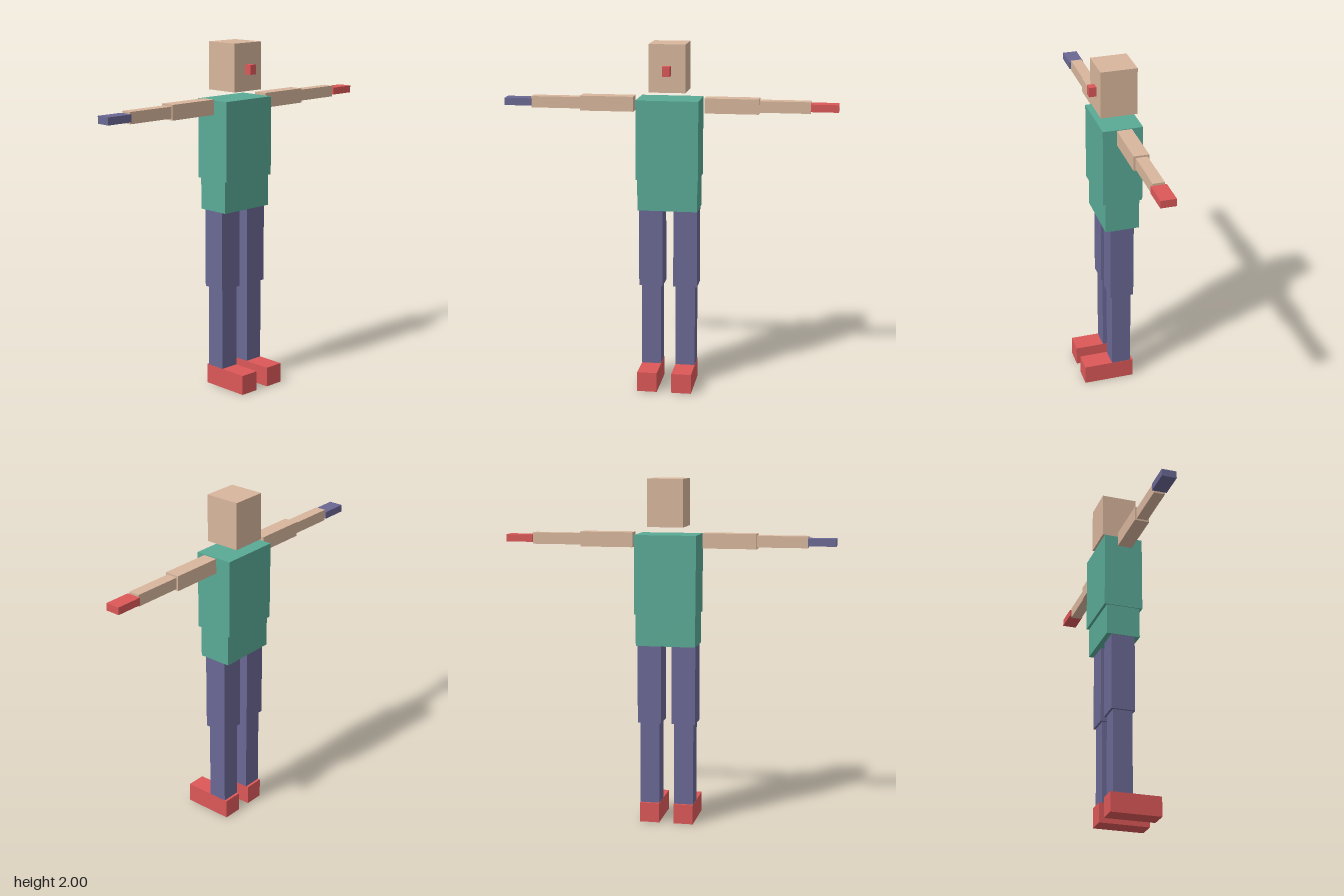
import * as THREE from 'three';

const mat = (name, color) => {
  const m = new THREE.MeshStandardMaterial({ color });
  m.name = name;
  return m;
};

export function createModel() {
  const skin = mat('skin', 0xd8b69c);
  const shirt = mat('teal shirt', 0x5aaa96);
  const trousers = mat('slate blue', 0x6a6894);
  const red = mat('red', 0xdc5858);

  const figure = new THREE.Group();
  figure.name = 'blockFigure';

  // Box given by its extents along each axis
  const block = (name, material, [x0, x1], [y0, y1], [z0, z1]) => {
    const mesh = new THREE.Mesh(new THREE.BoxGeometry(x1 - x0, y1 - y0, z1 - z0), material);
    mesh.position.set((x0 + x1) / 2, (y0 + y1) / 2, (z0 + z1) / 2);
    mesh.name = name;
    figure.add(mesh);
  };
  const around = (centre, size) => [centre - size / 2, centre + size / 2];

  // Head, nose and body
  block('head', skin, around(0, 0.207), [1.73, 2], around(0, 0.207));
  block('nose', red, around(0, 0.044), [1.825, 1.88], [0.1, 0.145]);
  block('chest', shirt, around(0, 0.356), [1.232, 1.685], around(0, 0.228));
  block('hips', shirt, around(0, 0.345), [1.05, 1.232], around(0, 0.197));

  for (const [side, s] of [['left', 1], ['right', -1]]) {
    // Legs and feet
    const x = s * 0.1;
    block(side + 'Thigh', trousers, around(x, 0.138), [0.595, 1.07], around(0, 0.138));
    block(side + 'Shin', trousers, around(x, 0.113), [0.115, 0.595], around(0, 0.113));
    block(side + 'Foot', red, around(x, 0.115), [0, 0.115], [-0.072, 0.224]);

    // Arms held straight out; the hands differ in colour
    const out = (a, b) => (s > 0 ? [a, b] : [-b, -a]);
    block(side + 'UpperArm', skin, out(0.203, 0.51), around(1.652, 0.085), around(0, 0.085));
    block(side + 'Forearm', skin, out(0.51, 0.797), around(1.652, 0.065), around(0, 0.065));
    block(side + 'Hand', s > 0 ? red : trousers, out(0.797, 0.953), around(1.652, 0.042), around(0, 0.085));
  }

  // The whole figure stands turned towards its left
  figure.rotation.y = THREE.MathUtils.degToRad(25);
  const model = new THREE.Group();
  model.name = 'model';
  model.add(figure);
  return model;
}
